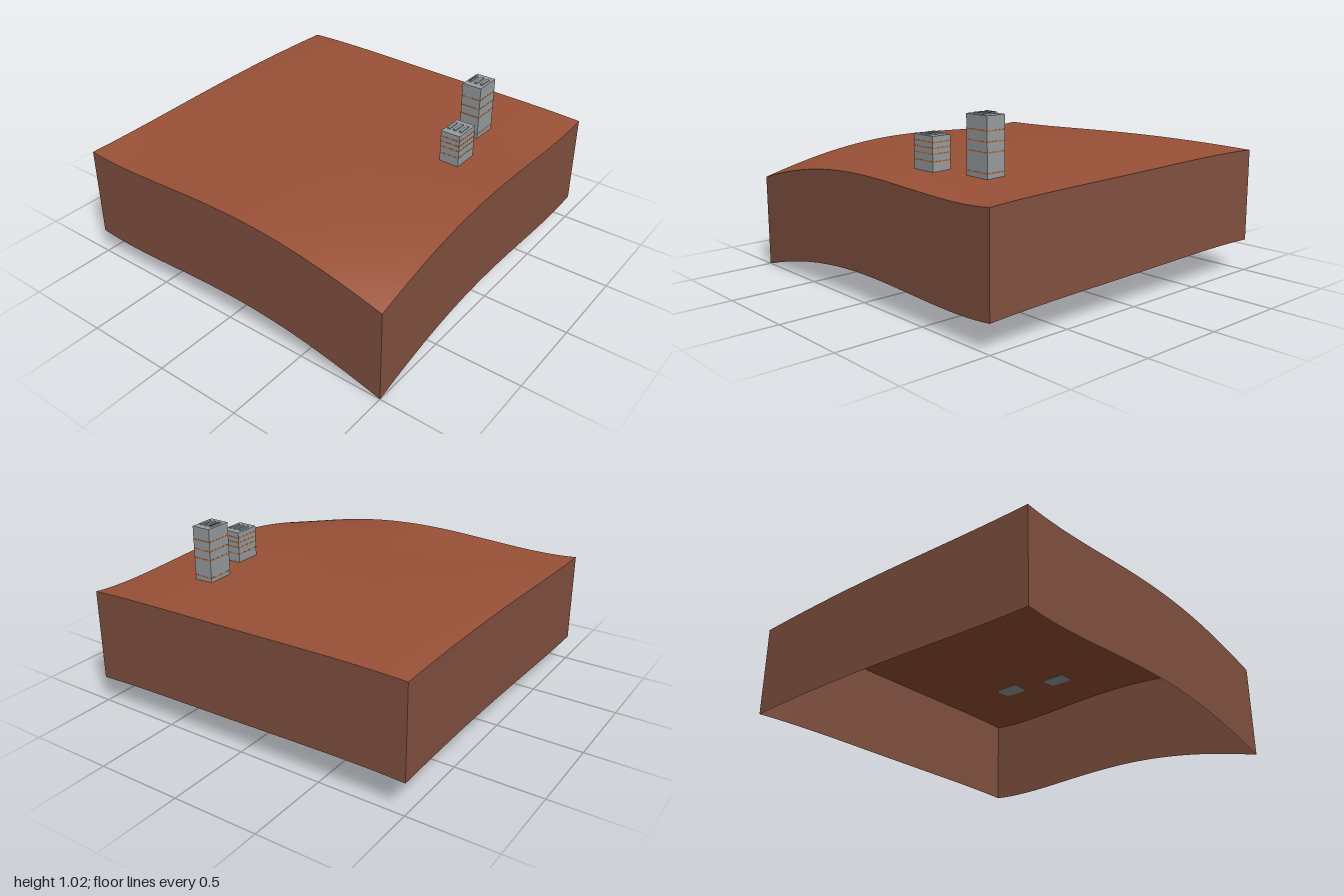
import * as THREE from 'three';

const mat = (name, color, side = THREE.FrontSide) => {
  const m = new THREE.MeshStandardMaterial({ color, side });
  m.name = name;
  return m;
};

// Ground heights on a 5 x 5 grid, rows from back to front, columns from -x to +x
const HEIGHTS = [
  [0.718, 0.722, 0.712, 0.703, 0.685],
  [0.725, 0.733, 0.718, 0.704, 0.676],
  [0.716, 0.728, 0.718, 0.704, 0.69],
  [0.696, 0.702, 0.703, 0.69, 0.649],
  [0.683, 0.676, 0.69, 0.648, 0.535],
];
const KNOTS = [-1, -0.5, 0, 0.5, 1];
const SKIRT = 0.533;
const SEGMENTS = 40;

// Smooth polynomial through five evenly spaced values
function blend(values, t) {
  return values.reduce((sum, v, i) => sum + KNOTS.reduce(
    (w, k, j) => (j === i ? w : w * (t - k) / (KNOTS[i] - k)), v), 0);
}
const groundHeight = (x, z) => blend(HEIGHTS.map((row) => blend(row, x)), z);

function addMesh(parent, name, geometry, material) {
  const mesh = new THREE.Mesh(geometry, material);
  mesh.name = name;
  parent.add(mesh);
  return mesh;
}

function addBox(parent, name, size, position, material) {
  const mesh = addMesh(parent, name, new THREE.BoxGeometry(...size), material);
  mesh.position.set(...position);
  return mesh;
}

export function createModel() {
  const model = new THREE.Group();
  model.name = 'terrainBlock';
  const soil = mat('red soil', 0x9a5137, THREE.DoubleSide);
  const cut = mat('brown cut earth', 0x825140, THREE.DoubleSide);
  const concrete = mat('grey concrete', 0x979da0);
  const orange = mat('orange stripe', 0xc8672a);
  const dark = mat('dark vent', 0x3c4145);

  // Rolling ground surface
  const ground = new THREE.PlaneGeometry(2, 2, SEGMENTS, SEGMENTS).rotateX(-Math.PI / 2);
  const gp = ground.attributes.position;
  for (let i = 0; i < gp.count; i++) gp.setY(i, groundHeight(gp.getX(i), gp.getZ(i)));
  ground.computeVertexNormals();
  addMesh(model, 'ground', ground, soil);

  // Four skirt walls whose lower edges follow the ground; the underside is open
  ['frontWall', 'leftWall', 'backWall', 'rightWall'].forEach((name, side) => {
    const wall = new THREE.PlaneGeometry(2, 1, SEGMENTS, 1);
    wall.translate(0, 0, 1).rotateY(side * Math.PI / 2);
    const p = wall.attributes.position;
    for (let i = 0; i < p.count; i++) {
      const top = groundHeight(p.getX(i), p.getZ(i));
      p.setY(i, p.getY(i) > 0 ? top : Math.max(0, top - SKIRT));
    }
    wall.computeVertexNormals();
    addMesh(model, name, wall, cut);
  });

  // Towers with orange bands and low roof ridges
  const towers = [
    { name: 'tallTower', x: 0.583, z: -0.5, top: 1.016, bands: [0.94, 0.885, 0.832, 0.727] },
    { name: 'shortTower', x: 0.661, z: -0.166, top: 0.886, bands: [0.853, 0.823, 0.793, 0.752] },
  ];
  const W = 0.117, D = 0.158, BASE = 0.699;
  for (const { name, x, z, top, bands } of towers) {
    const tower = new THREE.Group();
    tower.name = name;
    tower.position.set(x, 0, z);
    addBox(tower, 'body', [W, top - BASE, D], [0, (top + BASE) / 2, 0], concrete);
    for (const y of bands) addBox(tower, 'band', [W + 0.002, 0.006, D + 0.002], [0, y, 0], orange);
    for (const rx of [-0.036, 0, 0.036]) {
      addBox(tower, 'roofRidge', [0.016, 0.008, D * 0.5], [rx, top + 0.004, 0], concrete);
    }
    model.add(tower);
  }
  // Dark slot on the tall roof
  addBox(model, 'roofVent', [0.007, 0.002, 0.079], [0.544, 1.0245, -0.5], dark);

  return model;
}
